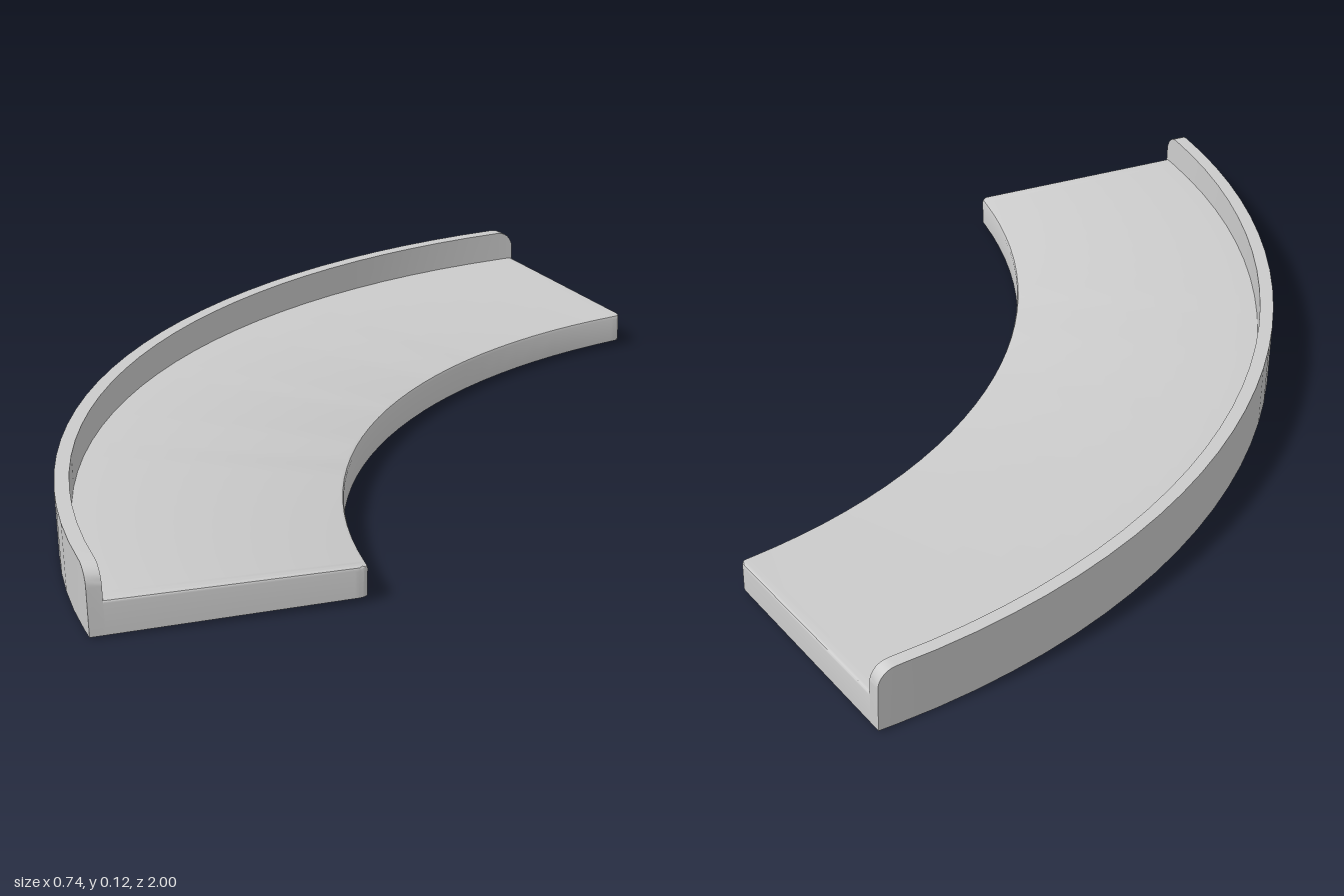
import * as THREE from 'three';
import { toCreasedNormals } from 'three/addons/utils/BufferGeometryUtils.js';

// Open-bottomed shell, so both sides show
const material = new THREE.MeshStandardMaterial({ color: 0xcccccc, side: THREE.DoubleSide });
const OUTER = { cx: 1.104, r: 1.472, a: 0.745 }; // arc along the outside of the back
const INNER = { cx: 1.267, r: 1.13, a: 0.664 };  // arc along the front of the seat
const SEAT_H = 0.064, BACK_H = 0.123, BACK_T = 0.026, LEAN = 0.005;
const HALF = OUTER.r * OUTER.a; // half the length along the outer arc

const onArc = ({ cx, r, a }, u) =>
  new THREE.Vector3(cx - r * Math.cos(a * u), 0, r * Math.sin(a * u));

// How far a rounded corner of the given radius falls away at distance s from the end
const drop = (s, radius) =>
  s >= radius ? 0 : radius - Math.sqrt(radius ** 2 - (radius - s) ** 2);

// Cross-section points: distance in from the outer or the inner arc, and height
const backProfile = (s) => {
  const top = BACK_H - drop(s, 0.035);
  return [
    { from: 'outer', d: 0, y: 0 },
    { from: 'outer', d: 0, y: top },
    { from: 'outer', d: BACK_T, y: top },
    { from: 'outer', d: BACK_T, y: 0.055 },
  ];
};

const seatProfile = (s) => {
  const top = SEAT_H - drop(s, 0.006), d = drop(s, 0.018);
  return [
    { from: 'outer', d: BACK_T, y: top },
    { from: 'inner', d: d + 0.007, y: top },
    { from: 'inner', d: d + 0.002, y: top - 0.002 },
    { from: 'inner', d, y: top - 0.007 },
    { from: 'inner', d, y: 0 },
  ];
};

// Place one cross-section point at u (-1 to 1 along the length)
function place({ from, d, y }, u) {
  const o = onArc(OUTER, u), i = onArc(INNER, u);
  const across = i.clone().sub(o).normalize();
  const p = from === 'outer'
    ? o.addScaledVector(across, d - LEAN * y / BACK_H)
    : i.addScaledVector(across, -d);
  const rim = 0.002 + 0.01 * ((p.x + 0.373) / 0.746) ** 2; // lower rim rises slightly
  p.y = Math.max(y, y > 0 ? y : rim - 0.002);
  return p;
}

// Sweep a cross-section along the bench and fold it down to the floor at both ends
function sweep(profile) {
  const ends = [0, 0.0005, 0.002, 0.006, 0.012, 0.018, 0.026, 0.035];
  const half = [...ends];
  for (let k = 1; k <= 14; k++) half.push(0.035 + (HALF - 0.035) * k / 14);
  const columns = half.map((s) => ({ s, u: s / HALF - 1 }));
  columns.push(...columns.slice(0, -1).reverse().map(({ s, u }) => ({ s, u: -u })));

  const loops = columns.map(({ s, u }) => profile(s).map((q) => place(q, u)));
  const floor = (u) => profile(0).map((q) => place({ ...q, y: 0 }, u));
  loops.unshift(floor(-1));
  loops.push(floor(1));

  const rows = loops[0].length, index = [];
  for (let c = 0; c < loops.length - 1; c++) {
    for (let r = 0; r < rows - 1; r++) {
      const a = c * rows + r, b = a + rows;
      index.push(a, b, b + 1, a, b + 1, a + 1);
    }
  }
  const geometry = new THREE.BufferGeometry().setFromPoints(loops.flat());
  geometry.setIndex(index);
  return toCreasedNormals(geometry, 0.4);
}

export function createModel() {
  const group = new THREE.Group();
  group.name = 'curvedBench';
  const parts = { seat: seatProfile, back: backProfile };
  for (const [name, profile] of Object.entries(parts)) {
    const mesh = new THREE.Mesh(sweep(profile), material);
    mesh.name = name;
    group.add(mesh);
  }
  return group;
}
